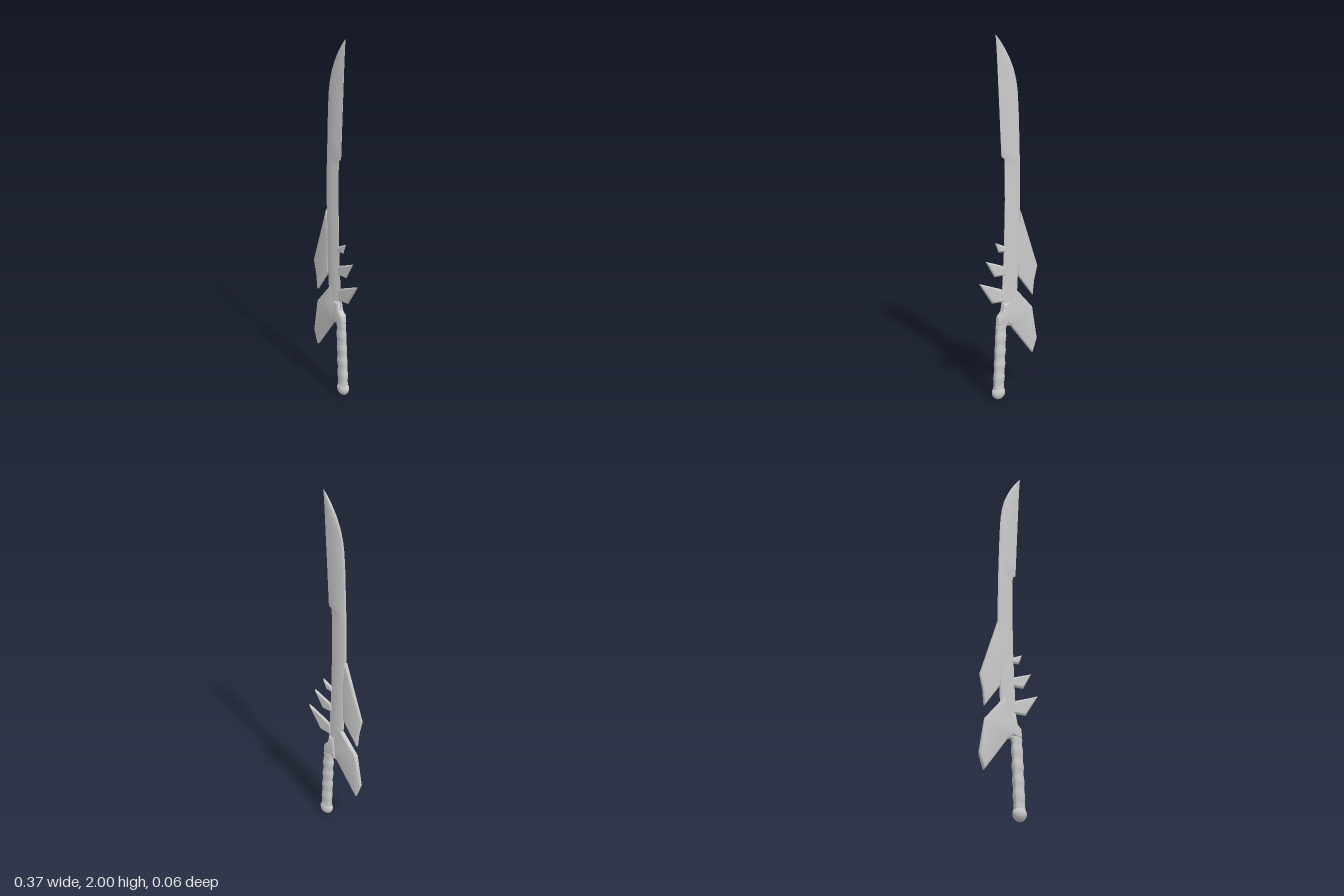
import * as THREE from 'three';
import { toCreasedNormals } from 'three/addons/utils/BufferGeometryUtils.js';

const material = new THREE.MeshStandardMaterial({ color: 0xcccccc });

function addMesh(group, name, geometry) {
  const mesh = new THREE.Mesh(geometry, material);
  mesh.name = name;
  group.add(mesh);
  return mesh;
}

// Skin a stack of equal-length rings, bottom to top, closing both ends
function loft(rings, crease) {
  const n = rings[0].length;
  const centre = ring => {
    const c = new THREE.Vector3();
    ring.forEach(p => c.add(p));
    c.divideScalar(n);
    return ring.map(() => c);
  };
  const all = [centre(rings[0]), ...rings, centre(rings[rings.length - 1])];
  const index = [];
  for (let r = 0; r < all.length - 1; r++) {
    for (let i = 0; i < n; i++) {
      const a = r * n + i, b = r * n + (i + 1) % n;
      if (r > 0) index.push(a, b, a + n);
      if (r < all.length - 2) index.push(b, b + n, a + n);
    }
  }
  const geometry = new THREE.BufferGeometry().setFromPoints(all.flat());
  geometry.setIndex(index);
  return toCreasedNormals(geometry, crease);
}

// Flat plate with bevelled edges, centred on z = 0
function plate(points, half, bevel, segments = 1) {
  const shape = new THREE.Shape(points.map(p => new THREE.Vector2(...p)));
  const thickness = half * 0.75;
  const geometry = new THREE.ExtrudeGeometry(shape, {
    depth: 2 * (half - thickness), bevelThickness: thickness,
    bevelSize: bevel, bevelOffset: -bevel, bevelSegments: segments,
  });
  geometry.translate(0, 0, thickness - half);
  return toCreasedNormals(geometry, 0.5);
}

export function createModel() {
  const model = new THREE.Group();
  model.name = 'sword';

  // Blade: y, spine x, edge x, half thickness
  const bladeRows = [
    [0.44, -0.02, 0.05, 0.012], [0.52, -0.045, 0.045, 0.012], [0.63, -0.06, 0.038, 0.012],
    [0.76, -0.066, 0.031, 0.012], [0.9, -0.071, 0.025, 0.011], [1.13, -0.077, 0.02, 0.011],
    [1.3, -0.075, 0.021, 0.011], [1.355, -0.074, 0.023, 0.011], [1.368, -0.073, 0.041, 0.011],
    [1.45, -0.071, 0.045, 0.01], [1.6, -0.066, 0.052, 0.01], [1.7, -0.06, 0.057, 0.01],
    [1.76, -0.051, 0.06, 0.009], [1.82, -0.035, 0.063, 0.009], [1.88, -0.009, 0.066, 0.008],
    [1.93, 0.02, 0.069, 0.007], [1.97, 0.048, 0.072, 0.005], [2.0, 0.073, 0.075, 0.001],
  ];
  // Cross-section: rounded spine, flat cheek, long bevel to the edge
  const section = [[0, 0], [0.05, 0.6], [0.16, 1], [0.62, 1], [1, 0.08],
    [1, -0.08], [0.62, -1], [0.16, -1], [0.05, -0.6]];
  addMesh(model, 'blade', loft(bladeRows.map(([y, x0, x1, h]) =>
    section.map(([t, z]) => new THREE.Vector3(x0 + (x1 - x0) * t, y, z * h))), 0.45));

  // Swept fins on the spine side
  addMesh(model, 'upperFin', plate([
    [-0.075, 1.065], [-0.188, 0.735], [-0.167, 0.65], [-0.157, 0.568],
    [-0.06, 0.7], [-0.055, 0.9]], 0.011, 0.012, 2));
  addMesh(model, 'lowerFin', plate([
    [-0.024, 0.652], [-0.155, 0.5], [-0.187, 0.31], [-0.156, 0.228],
    [-0.012, 0.42], [0.03, 0.425], [0.02, 0.5], [-0.015, 0.58]], 0.014, 0.014, 2));

  // Three spikes on the cutting side
  [
    [[0.015, 0.845], [0.06, 0.85], [0.082, 0.907], [0.03, 0.882], [0.015, 0.872]],
    [[0.02, 0.714], [0.087, 0.717], [0.142, 0.813], [0.035, 0.77], [0.02, 0.755]],
    [[0.025, 0.564], [0.103, 0.57], [0.184, 0.697], [0.045, 0.64], [0.025, 0.62]],
  ].forEach((points, i) => addMesh(model, `spike${i + 1}`, plate(points, 0.008, 0.009)));

  // Guard collar between blade and grip
  addMesh(model, 'guard', plate([
    [-0.015, 0.42], [0.01, 0.438], [0.066, 0.43], [0.074, 0.445], [0.069, 0.485],
    [0.045, 0.508], [0.035, 0.555], [0.0, 0.56], [-0.01, 0.49]], 0.02, 0.014, 3));

  // Grip: leaning oval handle with shallow finger grooves
  const gripRings = [];
  for (let i = 0; i <= 28; i++) {
    const t = i / 28, y = 0.05 + 0.39 * t;
    const wave = 0.0016 * Math.cos(t * Math.PI * 10);
    const end = i === 0 || i === 28 ? 0.88 : 1;
    const rx = (0.0315 + wave) * end, rz = (0.022 - 0.004 * t * t + wave) * end;
    const cx = 0.063 - 0.018 * t;
    gripRings.push(Array.from({ length: 20 }, (_, k) => {
      const a = k / 20 * Math.PI * 2;
      const soft = v => Math.sign(v) * Math.abs(v) ** 0.8;
      return new THREE.Vector3(cx - soft(Math.cos(a)) * rx, y, soft(Math.sin(a)) * rz);
    }));
  }
  addMesh(model, 'grip', loft(gripRings, 0.8));

  // Flattened round pommel
  const pommel = addMesh(model, 'pommel', new THREE.SphereGeometry(1, 24, 16));
  pommel.scale.set(0.04, 0.04, 0.029);
  pommel.position.set(0.063, 0.04, 0);

  return model;
}
